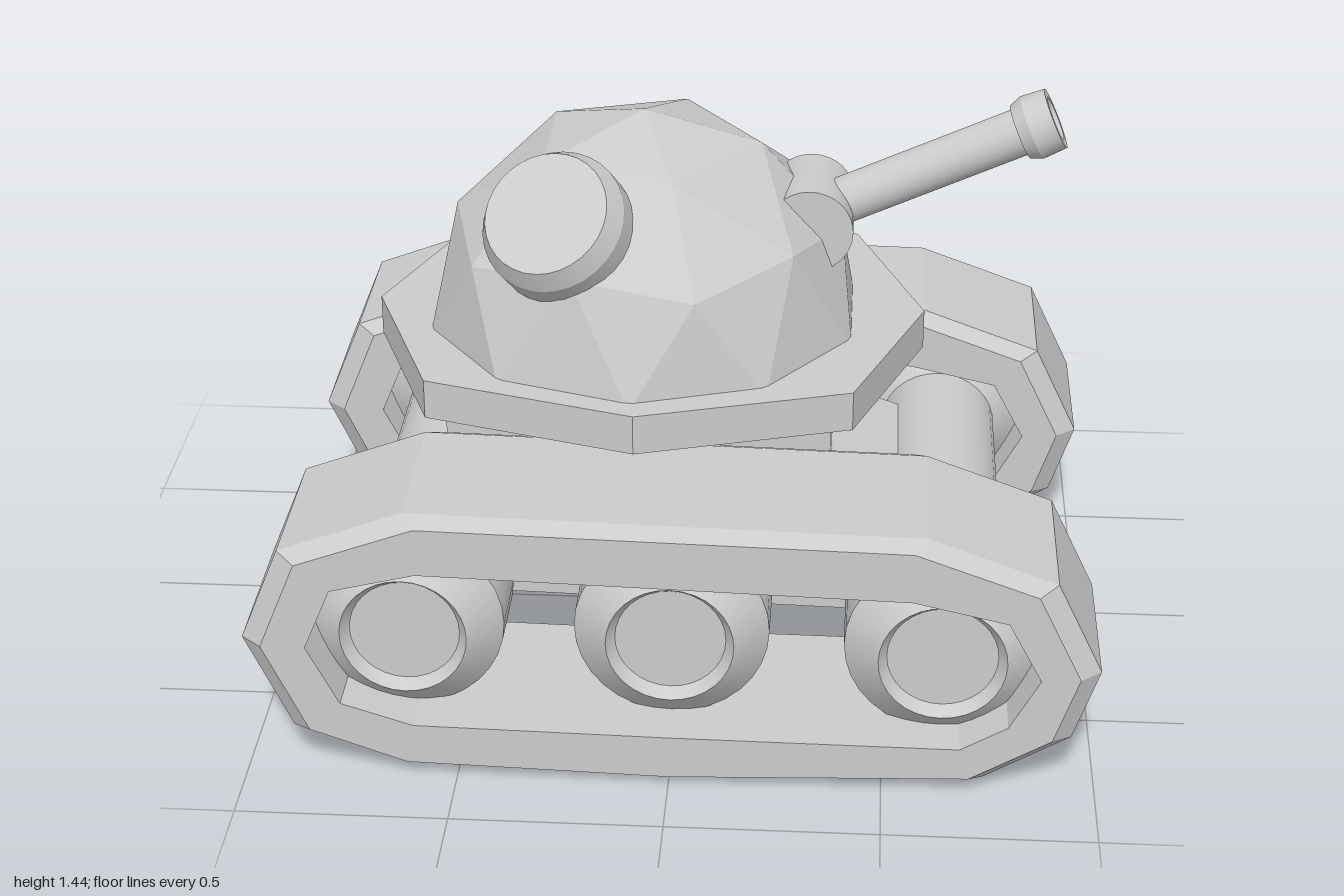
import * as THREE from 'three';
import { toCreasedNormals } from 'three/addons/utils/BufferGeometryUtils.js';

const smooth = new THREE.MeshStandardMaterial({ color: 0xcccccc });
const flat = new THREE.MeshStandardMaterial({ color: 0xcccccc, flatShading: true });

function add(parent, name, geometry, material, x = 0, y = 0, z = 0) {
  const mesh = new THREE.Mesh(geometry, material);
  mesh.name = name;
  mesh.position.set(x, y, z);
  parent.add(mesh);
  return mesh;
}

// Turned part around y, profile listed bottom to top
function turned(profile, segments = 32) {
  const points = profile.map(([r, y]) => new THREE.Vector2(r, y));
  return toCreasedNormals(new THREE.LatheGeometry(points, segments), 0.4);
}

// Closed band: chamfered outer loops joined to the inner opening
function trackGeometry() {
  const outer = [[1, 0.325], [0.89, 0.555], [0.59, 0.665], [-0.61, 0.69], [-0.905, 0.58], [-1, 0.345],
    [-0.89, 0.105], [-0.65, 0.018], [0, 0], [0.74, 0.025], [0.94, 0.145]];
  const hole = [[0.86, 0.32], [0.78, 0.47], [0.56, 0.52], [-0.58, 0.55], [-0.78, 0.5], [-0.845, 0.345],
    [-0.77, 0.195], [-0.6, 0.14], [0, 0.13], [0.68, 0.125], [0.79, 0.19]];
  const small = outer.map(([x, y]) => [x * 0.95, 0.34 + (y - 0.34) * 0.94]);
  const loops = [[small, -0.237], [outer, -0.195], [outer, 0.195], [small, 0.237], [hole, 0.237], [hole, -0.237]];
  const n = outer.length;
  const positions = [];
  const index = [];
  loops.forEach(([loop, z], i) => {
    loop.forEach(([x, y], j) => {
      positions.push(x, y, z);
      const k = (j + 1) % n;
      const next = ((i + 1) % loops.length) * n;
      index.push(i * n + j, i * n + k, next + k, i * n + j, next + k, next + j);
    });
  });
  const geometry = new THREE.BufferGeometry();
  geometry.setAttribute('position', new THREE.Float32BufferAttribute(positions, 3));
  geometry.setIndex(index);
  geometry.computeVertexNormals();
  return geometry;
}

// Eight-sided plate with a tapered underside and widened diagonal corners
function platformGeometry() {
  const profile = [[0, 0.725], [0.74, 0.725], [1, 0.757], [1, 0.855], [0, 0.855]];
  const geometry = new THREE.LatheGeometry(profile.map(([r, y]) => new THREE.Vector2(r, y)), 8);
  const p = geometry.attributes.position;
  for (let i = 0; i < p.count; i++) {
    const diagonal = Math.abs(p.getX(i)) > 0.01 && Math.abs(p.getZ(i)) > 0.01;
    const s = diagonal ? 1.06 : 1;
    p.setXYZ(i, p.getX(i) * 0.675 * s, p.getY(i), p.getZ(i) * 0.6 * s);
  }
  geometry.computeVertexNormals();
  return geometry;
}

// Faceted sphere with a corner on top, flattened below its equator
function domeGeometry() {
  const geometry = new THREE.IcosahedronGeometry(0.54, 1);
  geometry.rotateZ(-Math.atan(2 / (1 + Math.sqrt(5))));
  const p = geometry.attributes.position;
  for (let i = 0; i < p.count; i++) p.setY(i, Math.max(p.getY(i), 0));
  geometry.computeVertexNormals();
  return geometry;
}

export function createModel() {
  const model = new THREE.Group();
  model.name = 'tank';

  // Tracks, wheels and axles
  const wheels = [[-0.625, 0.345], [0, 0.345], [0.635, 0.32]];
  const track = trackGeometry();
  const wheel = turned([[0, -0.145], [0.13, -0.145], [0.15, -0.175], [0.23, -0.1],
    [0.23, 0.1], [0.15, 0.175], [0.13, 0.145], [0, 0.145]]);
  wheel.rotateX(Math.PI / 2);
  const axle = toCreasedNormals(new THREE.CylinderGeometry(0.15, 0.15, 1.0, 32), 0.6);
  axle.rotateX(Math.PI / 2);
  for (const [side, z] of [['left', 0.593], ['right', -0.593]]) {
    add(model, side === 'left' ? 'frontTrack' : 'backTrack', track, flat, 0, 0, z);
    for (const [x, y] of wheels) add(model, 'wheel', wheel, smooth, x, y, z);
  }
  for (const [x, y] of wheels) add(model, 'axle', axle, smooth, x, y, 0);

  // Hull with a stepped nose
  const side = new THREE.Shape([[-0.57, 0.21], [0.53, 0.185], [0.53, 0.425], [0.36, 0.485], [0.36, 0.75], [-0.57, 0.75]]
    .map(([x, y]) => new THREE.Vector2(x, y)));
  add(model, 'hull', new THREE.ExtrudeGeometry(side, { depth: 0.64, bevelEnabled: false }), flat, 0, 0, -0.32);

  // Turret
  const turret = new THREE.Group();
  turret.name = 'turret';
  model.add(turret);
  add(turret, 'platform', platformGeometry(), flat, -0.095, 0, 0);
  add(turret, 'dome', domeGeometry(), flat, -0.11, 0.835, 0);

  // Hatch leaning out of the dome
  const hatch = add(turret, 'hatch', turned([[0, -0.3], [0.175, -0.3], [0.175, -0.05], [0.15, 0], [0, 0]]),
    smooth, -0.31, 1.265, 0.385);
  hatch.quaternion.setFromUnitVectors(new THREE.Vector3(0, 1, 0), new THREE.Vector3(-0.26, 0.69, 0.67).normalize());

  // Gun mount and raised barrel with a hollow muzzle
  const mount = toCreasedNormals(new THREE.CylinderGeometry(0.105, 0.105, 0.235, 32), 0.6);
  mount.rotateX(Math.PI / 2);
  add(turret, 'gunMount', mount, smooth, 0.295, 1.113, 0);
  const barrel = add(turret, 'barrel', turned([[0, 0], [0.058, 0], [0.058, 0.545], [0.068, 0.545], [0.08, 0.575],
    [0.076, 0.635], [0.055, 0.635], [0.05, 0.56], [0, 0.56]], 24), smooth, 0.295, 1.113, 0);
  barrel.rotation.z = -THREE.MathUtils.degToRad(65.7);

  return model;
}
